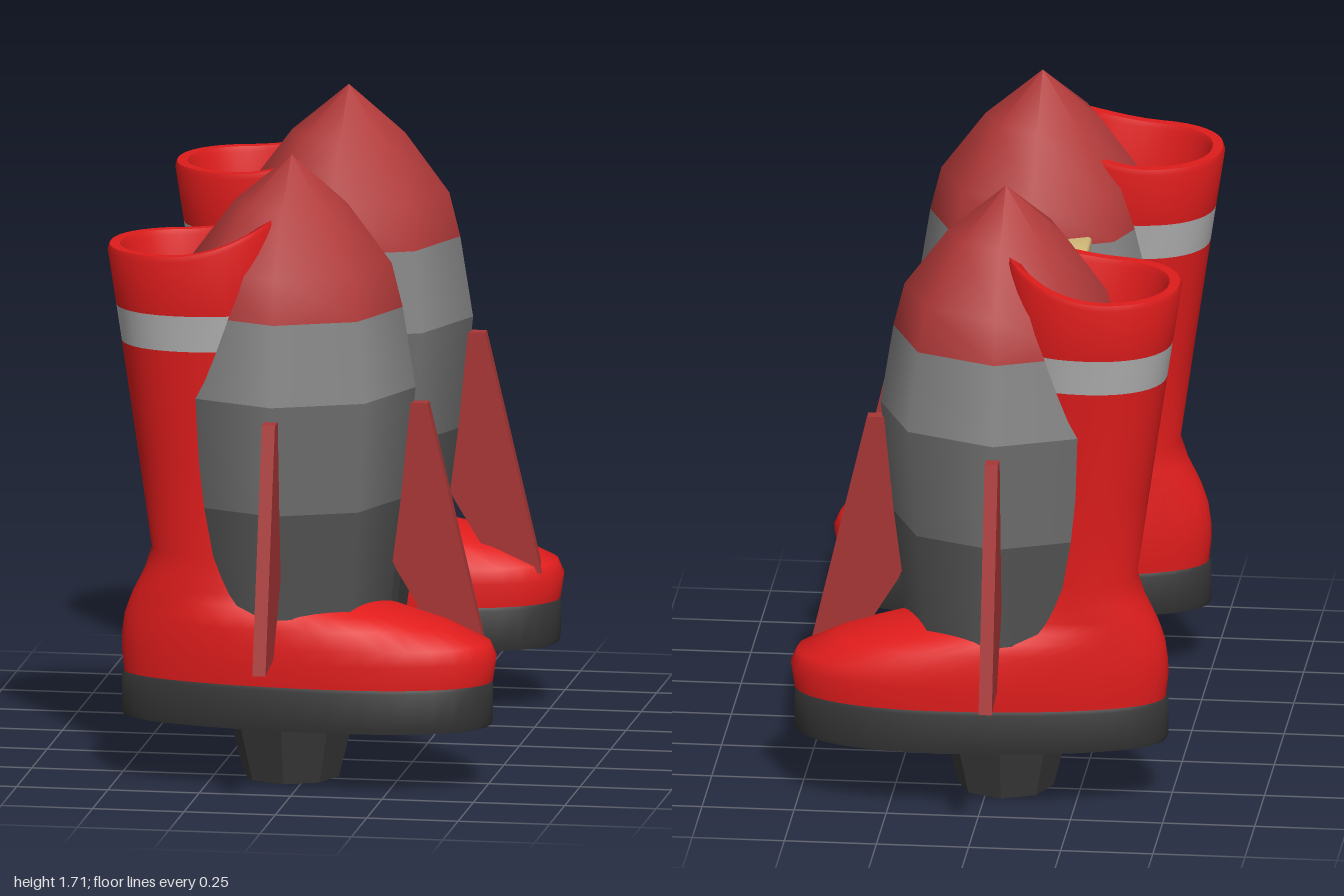
import * as THREE from 'three';
import { toCreasedNormals } from 'three/addons/utils/BufferGeometryUtils.js';
import { RoundedBoxGeometry } from 'three/addons/geometries/RoundedBoxGeometry.js';

const V2 = (p) => new THREE.Vector2(p[0], p[1]);
const mat = (color, opts = {}) => new THREE.MeshStandardMaterial({ color, ...opts });

const RED = mat(0xe01c1c, { side: THREE.DoubleSide });
const NOSE = mat(0xb03838), FIN = mat(0xa83636);
const BAND1 = mat(0x868686), BAND2 = mat(0x727272), BAND3 = mat(0x575757);
const DARK = mat(0x333333), DARK_FLAT = mat(0x3a3a3a, { flatShading: true });
const STRIPE = mat(0xb2b2b2), PANEL = mat(0x484848), GREY = mat(0x777777);
const ORANGE = mat(0xbe3a18), TAN = mat(0xd2b878), PAD = mat(0x2a221e);

function add(parent, name, geometry, material, x = 0, y = 0, z = 0) {
  const m = new THREE.Mesh(geometry, material);
  m.name = name;
  m.position.set(x, y, z);
  parent.add(m);
  return m;
}

// Eight-sided turned part
const turned = (pts) => new THREE.LatheGeometry(pts.map(V2), 8);

// Skin over horizontal loops: [y, xBack, xFront, halfWidthBack, halfWidthFront, frontLift]
function loft(loops, crease = 0.9) {
  const N = 40, pos = [], idx = [];
  const pow = (v, e) => Math.sign(v) * Math.abs(v) ** e;
  for (const [y, x0, x1, w0, w1, lift = 0] of loops) {
    for (let j = 0; j < N; j++) {
      const t = (j / N) * Math.PI * 2;
      const c = pow(Math.cos(t), 0.9);
      const x = (x0 + x1) / 2 + ((x1 - x0) / 2) * c;
      const w = THREE.MathUtils.lerp(w0, w1, THREE.MathUtils.smoothstep(c, -1, 1));
      const rise = lift * Math.max(0, (x + 0.35) / 0.3) ** 2;
      pos.push(x, y + rise, w * pow(Math.sin(t), 0.9));
    }
  }
  for (let i = 0; i < loops.length - 1; i++) {
    for (let j = 0; j < N; j++) {
      const k = (j + 1) % N;
      const a = i * N + j, b = i * N + k, c = a + N, d = b + N;
      idx.push(a, c, b, b, c, d);
    }
  }
  const g = new THREE.BufferGeometry();
  g.setAttribute('position', new THREE.Float32BufferAttribute(pos, 3));
  g.setIndex(idx);
  return toCreasedNormals(g, crease);
}

// Plate drawn in (z, y) and running from x0 to x1
function slab(pts, x0, x1, bevel = 0) {
  const g = new THREE.ExtrudeGeometry(new THREE.Shape(pts.map(([z, y]) => V2([-z, y]))), {
    depth: x1 - x0 - 2 * bevel, bevelEnabled: bevel > 0, bevelSize: bevel,
    bevelOffset: -bevel, bevelThickness: bevel, bevelSegments: 1,
  });
  return g.rotateY(Math.PI / 2).translate(x0 + bevel, 0, 0);
}

// Outline mirrored about z = 0, given for +z from bottom to top
const mirrored = (half) => [...half, ...half.map(([z, y]) => [-z, y]).reverse()];

function makeRocket(side) {
  const g = new THREE.Group();
  g.name = side > 0 ? 'frontRocket' : 'backRocket';
  add(g, 'nozzle', turned([[0, 0.04], [0.085, 0.04], [0.1, 0], [0.13, 0], [0.175, 0.18]]), DARK_FLAT);
  add(g, 'engineCone', turned([[0.1, 0.18], [0.2, 0.18], [0.205, 0.2], [0.255, 0.48]]), DARK_FLAT);
  add(g, 'bodyBase', turned([[0, 0.48], [0.27, 0.48]]), DARK);
  add(g, 'lowerBody', turned([[0.272, 0.48], [0.31, 0.775]]), BAND3);
  add(g, 'middleBody', turned([[0.31, 0.775], [0.34, 1.08]]), BAND2);
  add(g, 'upperBody', turned([[0.34, 1.08], [0.305, 1.3]]), BAND1);
  add(g, 'noseCone', turned([[0.305, 1.3], [0.275, 1.42], [0.155, 1.58], [0, 1.71]]), NOSE);

  // Swept fins, one forward and one outward
  const outline = [[0.3, 1.04], [0.375, 1.04], [0.53, 0.38], [0.4, 0.4], [0.29, 0.58], [0.255, 0.66]];
  for (const [name, turn] of [['frontFin', 0], ['outerFin', -side * Math.PI / 2]]) {
    const fin = new THREE.ExtrudeGeometry(new THREE.Shape(outline.map(V2)), { depth: 0.036, bevelEnabled: false });
    add(g, name, fin.translate(0, 0, -0.018), FIN).rotation.y = turn;
  }
  g.position.set(-0.045, 0, side * 0.47);
  return g;
}

function makeBoot(side) {
  const g = new THREE.Group();
  g.name = side > 0 ? 'frontBoot' : 'backBoot';
  add(g, 'sole', loft([
    [0.175, 0, 0, 0, 0], [0.175, -0.49, 0.515, 0.17, 0.212], [0.19, -0.495, 0.52, 0.173, 0.214],
    [0.285, -0.495, 0.52, 0.173, 0.214], [0.297, -0.485, 0.51, 0.168, 0.208], [0.297, 0, 0, 0, 0],
  ]), DARK);
  add(g, 'footAndShaft', loft([
    [0.295, -0.488, 0.52, 0.17, 0.21], [0.36, -0.495, 0.53, 0.175, 0.214],
    [0.4, -0.494, 0.512, 0.173, 0.21], [0.45, -0.487, 0.4, 0.168, 0.198],
    [0.485, -0.475, 0.28, 0.16, 0.18], [0.51, -0.465, 0.16, 0.155, 0.14],
    [0.54, -0.45, 0.04, 0.148, 0.14], [0.58, -0.43, -0.03, 0.142, 0.14],
    [0.64, -0.41, -0.06, 0.138, 0.138], [0.9, -0.447, -0.08, 0.152, 0.152],
    [1.21, -0.492, -0.075, 0.178, 0.178],
  ], 1.3), RED);
  add(g, 'stripe', loft([[1.21, -0.492, -0.075, 0.178, 0.178], [1.31, -0.507, -0.07, 0.19, 0.19]]), STRIPE);
  // Flared cuff with a thick rim and a lining
  add(g, 'cuff', loft([
    [1.31, -0.507, -0.07, 0.19, 0.19], [1.46, -0.53, -0.055, 0.21, 0.21, 0.1],
    [1.475, -0.525, -0.06, 0.206, 0.206, 0.1], [1.475, -0.497, -0.09, 0.178, 0.178, 0.1],
    [1.46, -0.49, -0.095, 0.173, 0.173, 0.1], [1.3, -0.465, -0.11, 0.155, 0.155],
    [0.9, -0.42, -0.11, 0.125, 0.125],
  ]), RED);
  add(g, 'insole', loft([[0.92, -0.425, -0.11, 0.13, 0.13], [0.92, -0.26, -0.26, 0, 0]]), DARK);
  g.position.z = side * 0.552;
  return g;
}

function makeCentre() {
  const g = new THREE.Group();
  g.name = 'centrePack';
  const octagon = (w, y0, y1, c) => mirrored([[w - c, y0], [w, y0 + c * 1.4], [w, y1 - c * 1.4], [w - c, y1]]);
  add(g, 'housing', slab(mirrored([[0.15, 0.5], [0.17, 0.6], [0.15, 1.12]]), -0.19, -0.05), PANEL);
  // Notched top
  add(g, 'topBlock', slab([[0.13, 1.1], [0.115, 1.2], [0.035, 1.2], [0, 1.13],
    [-0.035, 1.2], [-0.115, 1.2], [-0.13, 1.1]], -0.18, -0.06), GREY);
  add(g, 'harnessBase', slab(mirrored([[0.1, 0.305], [0.235, 0.335], [0.23, 0.46], [0.16, 0.58]]),
    -0.21, 0.0, 0.02), ORANGE);
  add(g, 'frontPlate', slab(octagon(0.152, 0.51, 1.02, 0.08), -0.07, -0.015, 0.015), PANEL);
  add(g, 'controlPlate', slab(octagon(0.106, 0.54, 0.93, 0.05), -0.03, 0.003, 0.008), DARK);

  // Buttons
  for (const [name, y, r, color] of [['redButton', 0.86, 0.04, 0xe02020],
    ['greenButton', 0.762, 0.025, 0x2a8a38], ['blueButton', 0.682, 0.027, 0x2a2a5c]]) {
    add(g, name, new THREE.SphereGeometry(r, 20, 12), mat(color), 0, y, 0).scale.x = 0.75;
  }
  // Back pads
  for (let i = 0; i < 4; i++) {
    add(g, 'backPad', new RoundedBoxGeometry(0.05, 0.132, 0.29, 2, 0.014), PAD, -0.205, 0.625 + i * 0.138, 0);
  }
  // Wedge clips holding the rockets
  for (const s of [1, -1]) {
    const clip = new RoundedBoxGeometry(0.17, 0.2, 0.13, 2, 0.012);
    const p = clip.attributes.position;
    for (let i = 0; i < p.count; i++) {
      const k = 0.5 - p.getY(i) / 0.2;
      p.setX(i, p.getX(i) * (1 - 0.3 * k));
      p.setZ(i, p.getZ(i) * (1 - 0.55 * k) + s * 0.02 * k);
    }
    clip.computeVertexNormals();
    add(g, 'clip', toCreasedNormals(clip, 0.6), TAN, -0.12, 1.22, s * 0.178);
  }
  return g;
}

export function createModel() {
  const model = new THREE.Group();
  model.name = 'rocketBoots';
  for (const side of [1, -1]) model.add(makeRocket(side), makeBoot(side));
  model.add(makeCentre());
  return model;
}
